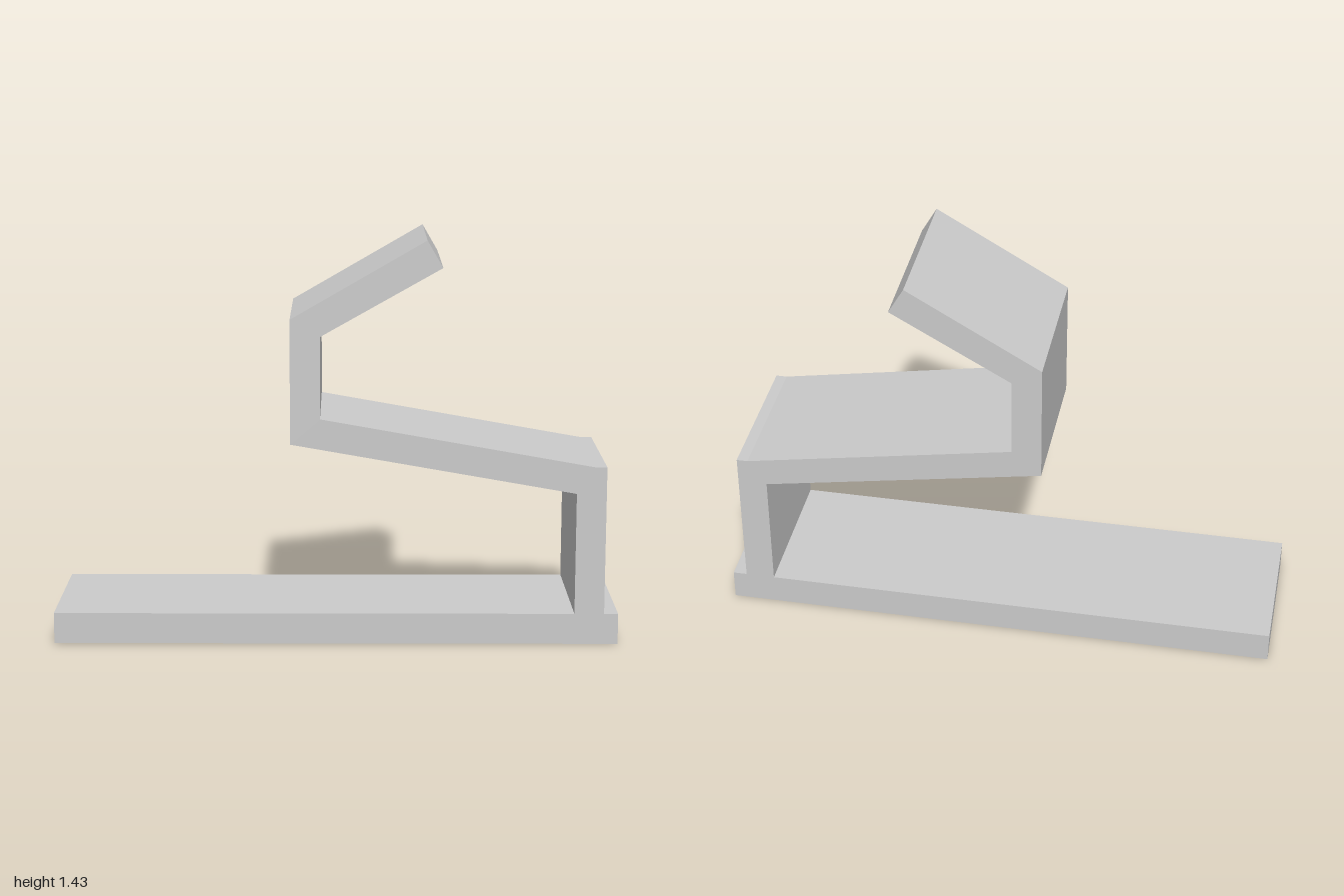
import * as THREE from 'three';

const WIDTH = 0.545;

// Side outline of the folded strip, counter-clockwise from the base's far end
const OUTLINE = [
  // base slab
  [-1, 0], [1, 0], [1, 0.11], [0.95, 0.11],
  // outer face of the upright and its flat top
  [0.95, 0.64], [0.91, 0.64],
  // top of the sloping shelf, inside of the back, underside of the upper lip
  [-0.055, 0.81], [-0.055, 1.1], [0.37, 1.34],
  // lip end, lip top, outside of the back
  [0.315, 1.435], [-0.16, 1.16], [-0.16, 0.72],
  // underside of the shelf, inner face of the upright, top of the base
  [0.845, 0.545], [0.845, 0.11], [-1, 0.11],
];

export function createModel() {
  const group = new THREE.Group();
  group.name = 'foldedStand';

  const shape = new THREE.Shape(OUTLINE.map(([x, y]) => new THREE.Vector2(x, y)));
  const geometry = new THREE.ExtrudeGeometry(shape, { depth: WIDTH, bevelEnabled: false });
  geometry.translate(0, 0, -WIDTH / 2);

  // One continuous strip: base, upright, shelf, back and lip
  const strip = new THREE.Mesh(
    geometry,
    new THREE.MeshStandardMaterial({ color: 0xcccccc, flatShading: true })
  );
  strip.name = 'foldedStrip';
  group.add(strip);
  return group;
}
